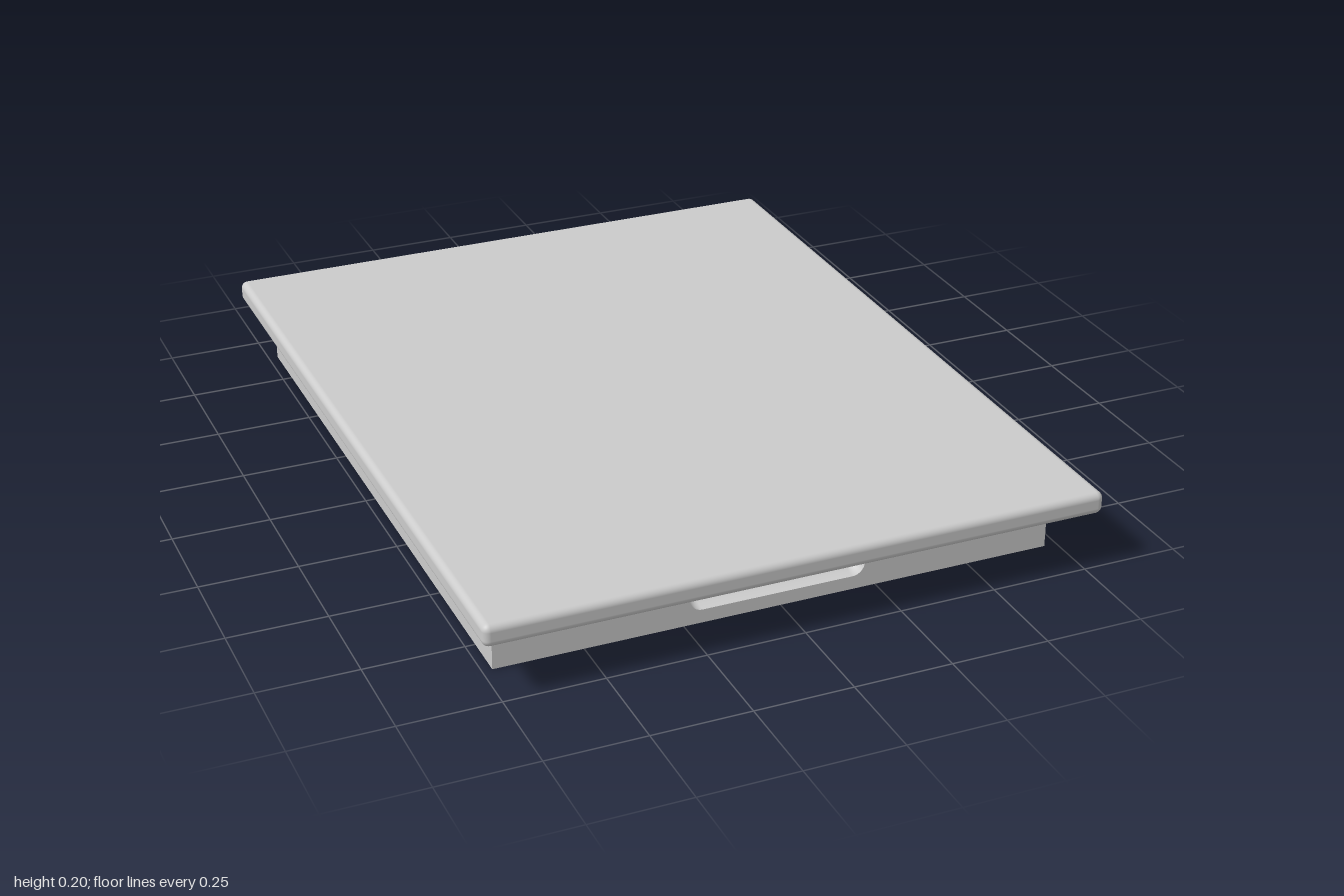
import * as THREE from 'three';
import { RoundedBoxGeometry } from 'three/addons/geometries/RoundedBoxGeometry.js';

const grey = new THREE.MeshStandardMaterial({ color: 0xcccccc });

// Base tray extents and the grip cut into its front wall
const base = { x0: -0.725, x1: 0.717, y0: 0, y1: 0.15, z0: -0.893, z1: 0.865 };
const grip = { x: -0.007, y: 0.078, w: 0.455, h: 0.086, r: 0.032, depth: 0.045, inset: 0.026 };

function add(group, name, geometry) {
  const mesh = new THREE.Mesh(geometry, grey);
  mesh.name = name;
  group.add(mesh);
  return mesh;
}

// Counter-clockwise rounded outline of the grip, shrunk by an inset
function gripOutline(inset, steps = 8) {
  const r = grip.r - inset;
  const cx = grip.w / 2 - grip.r, cy = grip.h / 2 - grip.r;
  const corners = [[1, 1], [-1, 1], [-1, -1], [1, -1]];
  const points = [];
  corners.forEach(([sx, sy], q) => {
    for (let i = 0; i <= steps; i++) {
      const a = (q + i / steps) * Math.PI / 2;
      points.push(new THREE.Vector2(
        grip.x + sx * cx + r * Math.cos(a), grip.y + sy * cy + r * Math.sin(a)));
    }
  });
  return points;
}

// Concave pocket: rounded outlines that narrow towards the back, then a cap
function pocketGeometry(rings = 8) {
  const positions = [], index = [];
  let n = 0;
  for (let j = 0; j <= rings; j++) {
    const a = j / rings * Math.PI / 2;
    const outline = gripOutline(grip.inset * (1 - Math.cos(a)));
    n = outline.length;
    outline.forEach(p => positions.push(p.x, p.y, base.z1 - grip.depth * Math.sin(a)));
  }
  for (let j = 0; j < rings; j++) {
    for (let i = 0; i < n; i++) {
      const k = (i + 1) % n;
      const a = j * n + i, b = j * n + k, c = a + n, d = b + n;
      index.push(a, b, c, b, d, c);
    }
  }
  const centre = positions.length / 3;
  positions.push(grip.x, grip.y, base.z1 - grip.depth);
  for (let i = 0; i < n; i++) index.push(rings * n + i, rings * n + (i + 1) % n, centre);
  const geometry = new THREE.BufferGeometry();
  geometry.setAttribute('position', new THREE.Float32BufferAttribute(positions, 3));
  geometry.setIndex(index);
  geometry.computeVertexNormals();
  return geometry;
}

export function createModel() {
  const model = new THREE.Group();
  model.name = 'lowProfileBox';

  // Overhanging lid with softened edges
  add(model, 'lid', new RoundedBoxGeometry(1.58, 0.058, 2, 5, 0.018)).position.y = 0.173;

  // Base tray: a box whose front side is replaced by the wall with the grip
  const { x0, x1, y0, y1, z0, z1 } = base;
  const tray = new THREE.Group();
  tray.name = 'base';
  model.add(tray);
  const box = new THREE.BoxGeometry(x1 - x0, y1 - y0, z1 - z0);
  const faces = Array.from(box.index.array);
  faces.splice(24, 6);
  box.setIndex(faces);
  box.clearGroups();
  box.translate((x0 + x1) / 2, (y0 + y1) / 2, (z0 + z1) / 2);
  add(tray, 'baseSides', box);

  const wall = new THREE.Shape([[x0, y0], [x1, y0], [x1, y1], [x0, y1]]
    .map(([x, y]) => new THREE.Vector2(x, y)));
  wall.holes.push(new THREE.Path(gripOutline(0).reverse()));
  add(tray, 'frontWall', new THREE.ShapeGeometry(wall)).position.z = z1;

  // Finger grip
  add(tray, 'gripRecess', pocketGeometry());

  return model;
}
